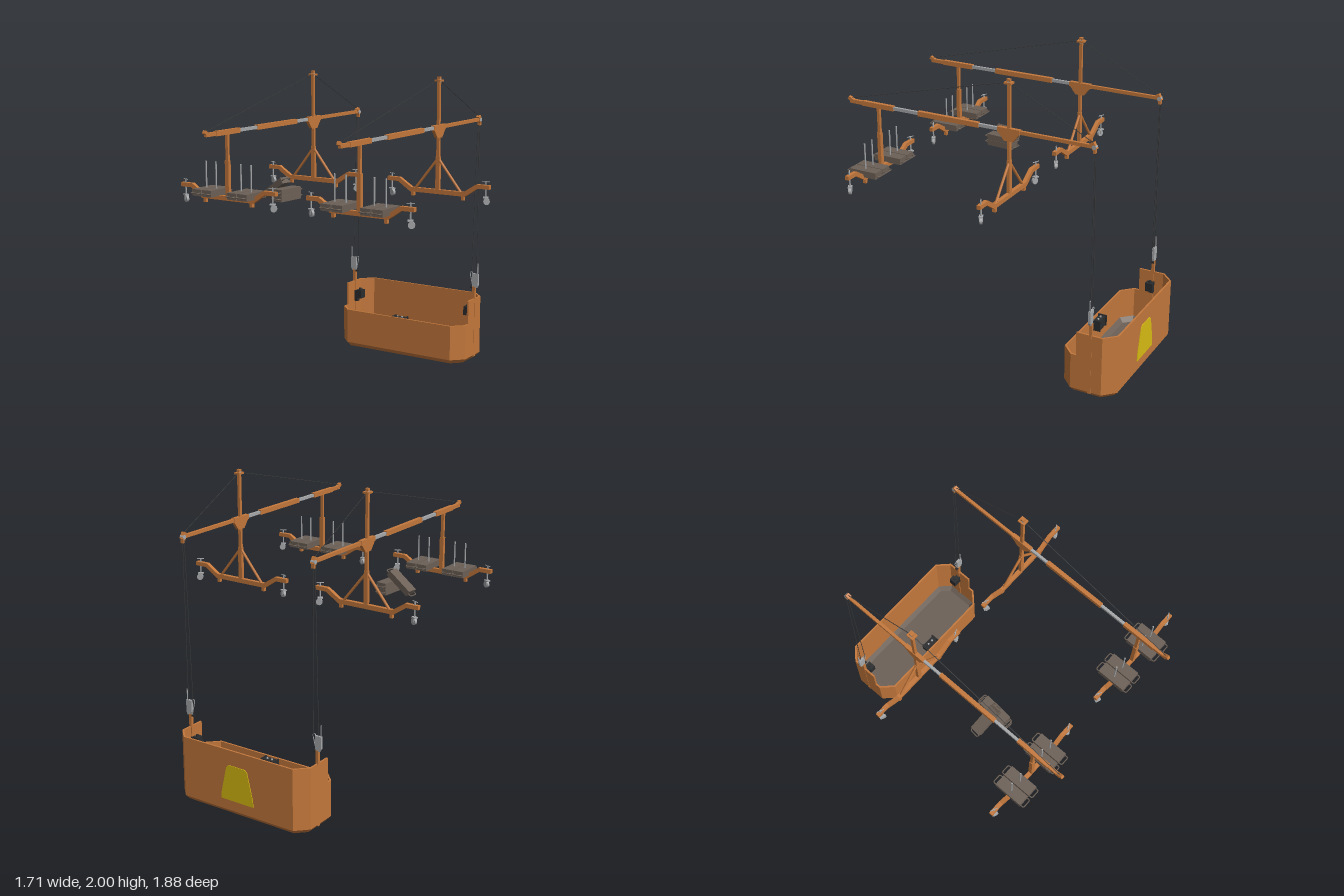
import * as THREE from 'three';
import { ConvexGeometry } from 'three/addons/geometries/ConvexGeometry.js';

const V = (x, y, z) => new THREE.Vector3(x, y, z);
const paint = (name, color, extra = {}) => {
  const m = new THREE.MeshStandardMaterial({ color, ...extra });
  m.name = name;
  return m;
};

export function createModel() {
  const orange = paint('orange paint', 0xc4783c);
  const steel = paint('steel', 0xa6a8aa);
  const iron = paint('cast iron', 0x6c6056, { side: THREE.DoubleSide });
  const black = paint('black', 0x2b2c2e);
  const cableMat = paint('cable', 0x3c3c3c);
  const yellow = paint('yellow', 0xd8bc12);

  const root = new THREE.Group();
  root.name = 'suspendedPlatform';

  const add = (parent, name, geo, mat, x = 0, y = 0, z = 0) => {
    const m = new THREE.Mesh(geo, mat);
    m.name = name;
    m.position.set(x, y, z);
    parent.add(m);
    return m;
  };
  const group = (parent, name, x = 0, y = 0, z = 0) => {
    const g = new THREE.Group();
    g.name = name;
    g.position.set(x, y, z);
    parent.add(g);
    return g;
  };
  const box = (p, name, mat, w, h, d, x, y, z) => add(p, name, new THREE.BoxGeometry(w, h, d), mat, x, y, z);
  // Straight rod between two points
  const rod = (p, name, mat, a, b, r, sides = 8) => {
    const dir = b.clone().sub(a);
    const m = add(p, name, new THREE.CylinderGeometry(r, r, dir.length(), sides), mat);
    m.position.copy(a).add(b).multiplyScalar(0.5);
    m.quaternion.setFromUnitVectors(V(0, 1, 0), dir.normalize());
    return m;
  };
  const bent = (p, name, mat, pts, r) =>
    add(p, name, new THREE.TubeGeometry(new THREE.CatmullRomCurve3(pts, false, 'catmullrom', 0.2), 20, r, 6), mat);
  const extrude = (pts, depth) => new THREE.ExtrudeGeometry(
    new THREE.Shape(pts.map(p => new THREE.Vector2(...p))), { depth, bevelEnabled: false });

  // Counterweight block with a carrying handle at each end
  function weight(parent, name, x, y, z, h = 0.042) {
    const g = group(parent, name, x, y, z);
    box(g, 'weightBlock', iron, 0.073, h, 0.195, 0, 0, 0);
    for (const s of [1, -1]) {
      bent(g, 'weightHandle', iron, [V(-0.03, 0, s * 0.09), V(-0.03, 0, s * 0.112),
        V(-0.024, 0, s * 0.12), V(0.024, 0, s * 0.12), V(0.03, 0, s * 0.112), V(0.03, 0, s * 0.09)], 0.004);
    }
    return g;
  }

  // Swivel caster with a threaded jack and T handle
  function caster(parent, x, turn) {
    const g = group(parent, 'caster', x, 0, 0);
    g.rotation.y = turn;
    rod(g, 'jackScrew', steel, V(0, 1.25, 0), V(0, 1.36, 0), 0.005);
    rod(g, 'jackHandle', steel, V(-0.024, 1.357, 0), V(0.024, 1.357, 0), 0.003);
    box(g, 'forkTop', steel, 0.034, 0.008, 0.026, 0, 1.257, 0);
    for (const s of [1, -1]) box(g, 'forkSide', steel, 0.018, 0.03, 0.003, 0.004, 1.242, s * 0.011);
    rod(g, 'wheel', steel, V(0.006, 1.231, -0.008), V(0.006, 1.231, 0.008), 0.021, 16);
  }

  // Cranked foot beam with casters and pads
  function stand(parent, name, z) {
    const g = group(parent, name, 0, 0, z);
    const foot = extrude([[-0.372, 1.31], [-0.29, 1.31], [-0.2, 1.25], [0.2, 1.25], [0.29, 1.31], [0.372, 1.31],
      [0.372, 1.336], [0.28, 1.336], [0.19, 1.279], [-0.19, 1.279], [-0.28, 1.336], [-0.372, 1.336]], 0.026);
    add(g, 'footBeam', foot, orange, 0, 0, -0.013);
    for (const s of [1, -1]) {
      caster(g, s * 0.343, s > 0 ? 0.5 : -0.4);
      box(g, 'footPad', orange, 0.02, 0.027, 0.022, s * 0.183, 1.238, 0);
    }
    return g;
  }

  function rig(name, x) {
    const g = group(root, name, x);
    // Telescopic jib beam: [material, thickness, z start, z end]
    const parts = [[orange, 0.024, 0.925, 0.82], [orange, 0.031, 0.83, 0.6], [steel, 0.02, 0.61, 0.41],
      [orange, 0.031, 0.42, -0.01], [steel, 0.02, 0, -0.15], [orange, 0.031, -0.14, -0.29],
      [orange, 0.022, -0.28, -0.775]];
    for (const [mat, t, a, b] of parts) box(g, 'jibBeam', mat, t * 0.85, t, a - b, 0, 1.679, (a + b) / 2);
    box(g, 'frontAnchor', orange, 0.022, 0.022, 0.05, 0, 1.688, 0.915).rotation.x = -0.5;
    box(g, 'rearHead', orange, 0.026, 0.045, 0.028, 0, 1.683, -0.77).rotation.x = 0.5;
    box(g, 'rearHeadDrop', orange, 0.022, 0.045, 0.016, 0, 1.662, -0.777);
    rod(g, 'rearPulley', steel, V(-0.014, 1.677, -0.775), V(0.014, 1.677, -0.775), 0.014, 14);

    // Rear stand with mast, braces and gusset
    const rear = stand(g, 'rearStand', -0.215);
    box(rear, 'lowerMast', orange, 0.028, 0.24, 0.022, 0, 1.37, 0);
    box(rear, 'middleMast', orange, 0.021, 0.2, 0.018, 0, 1.58, 0);
    box(rear, 'upperMast', orange, 0.018, 0.305, 0.02, 0, 1.83, 0);
    for (const s of [1, -1]) rod(rear, 'brace', orange, V(s * 0.165, 1.275, 0), V(0.005 * s, 1.475, 0), 0.009);
    const gusset = add(rear, 'gusset', extrude([[-0.075, 1.67], [-0.03, 1.612], [0.03, 1.612], [0.075, 1.67]], 0.022), orange, -0.011);
    gusset.rotation.y = Math.PI / 2;
    box(rear, 'mastCap', orange, 0.02, 0.03, 0.022, 0, 1.985, 0);
    box(rear, 'mastHead', orange, 0.042, 0.012, 0.05, 0, 1.975, 0);
    rod(rear, 'mastPulley', steel, V(-0.012, 1.975, 0), V(0.012, 1.975, 0), 0.012, 12);

    // Front stand with counterweights on pins
    const front = stand(g, 'frontStand', 0.715);
    box(front, 'frontLowerMast', orange, 0.028, 0.25, 0.024, 0, 1.375, 0);
    box(front, 'frontUpperMast', orange, 0.02, 0.19, 0.018, 0, 1.58, 0);
    for (const ox of [-0.177, -0.098, 0.098, 0.177]) {
      weight(front, 'counterweight', ox, 1.296, -0.005);
      rod(front, 'weightPin', steel, V(ox, 1.27, -0.005), V(ox, 1.485, -0.005), 0.005);
    }

    // Stay cables over the mast
    rod(g, 'frontStay', cableMat, V(0, 1.7, 0.915), V(0, 1.98, -0.215), 0.0022, 5);
    rod(g, 'rearStay', cableMat, V(0, 1.98, -0.215), V(0, 1.7, -0.77), 0.0022, 5);
    // Hoisting ropes
    rod(g, 'hoistRope', cableMat, V(0.003, 1.67, -0.777), V(0.002, 0.6, -0.777), 0.0022, 5);
    rod(g, 'safetyRope', cableMat, V(-0.01, 1.67, -0.777), V(-0.036, 0.6, -0.777), 0.0022, 5);
  }
  rig('rightRig', -0.485);
  rig('leftRig', 0.485);

  // Loose weights resting beside one rig
  const loose = group(root, 'looseWeights', -0.342, 0, 0.293);
  for (const y of [1.226, 1.266]) weight(loose, 'looseWeight', 0, y, 0, 0.039).rotation.y = -0.08;
  const lean = weight(loose, 'leaningWeight', -0.085, 1.282, 0);
  lean.rotation.set(0, Math.PI / 2 - 0.12, 0);
  lean.rotateX(-0.6);

  // Basket: octagonal tub with a low front
  const basket = group(root, 'basket', -0.021, 0, -0.75);
  const HX = 0.499, HZ = 0.185;
  const oct = i => {
    const x = HX - i, z = HZ - i, c = 0.078 - i * 0.586;
    return [[x - c, -z], [x, -z + c], [x, z - c], [x - c, z], [-x + c, z], [-x, z - c], [-x, -z + c], [-x + c, -z]];
  };
  const ring = (i, y) => oct(i).map(([x, z]) => V(x, y, z));
  const lower = new THREE.Shape(oct(0).map(p => new THREE.Vector2(...p)));
  lower.holes.push(new THREE.Path(oct(0.012).reverse().map(p => new THREE.Vector2(...p))));
  const upright = g => g.rotateX(-Math.PI / 2);
  add(basket, 'lowerWalls', upright(new THREE.ExtrudeGeometry(lower, { depth: 0.242, bevelEnabled: false })), orange, 0, 0.03, 0);
  // High back and sides, in plan (plan +y is toward the back)
  const high = i => {
    const x = HX - i, z = HZ - i, c = 0.078 - i * 0.586;
    return [[x, -0.07], [x, z - c], [x - c, z], [-x + c, z], [-x, z - c], [-x, -0.07]];
  };
  add(basket, 'upperWalls', upright(extrude([...high(0), ...high(0.012).reverse()], 0.165)), orange, 0, 0.27, 0);
  add(basket, 'hullBottom', new ConvexGeometry([...ring(0.027, 0), ...ring(0, 0.03)]), orange);
  add(basket, 'floor', new ConvexGeometry([...ring(0.013, 0.029), ...ring(0.013, 0.034)]), iron);
  // Sloped skirting around the floor
  const pos = [], hi = ring(0.013, 0.065), lo = ring(0.04, 0.034);
  for (let k = 0; k < 8; k++) {
    const n = (k + 1) % 8;
    for (const v of [lo[k], hi[n], hi[k], lo[k], lo[n], hi[n]]) pos.push(v.x, v.y, v.z);
  }
  const skirt = new THREE.BufferGeometry();
  skirt.setAttribute('position', new THREE.Float32BufferAttribute(pos, 3));
  skirt.computeVertexNormals();
  add(basket, 'floorSkirting', skirt, iron);

  // Yellow panel on the back wall
  const panel = add(basket, 'backPanel', extrude([[-0.125, 0.1], [0.125, 0.1], [0.12, 0.15], [0.08, 0.32], [0.062, 0.336],
    [-0.062, 0.336], [-0.08, 0.32], [-0.12, 0.15]], 0.004), yellow, 0, 0, -HZ);
  panel.rotation.y = Math.PI;

  // Stirrup, hoist and switch box at each end
  for (const s of [1, -1]) {
    const end = group(basket, s > 0 ? 'leftHoist' : 'rightHoist', 0, 0, -0.026);
    box(end, 'stirrup', orange, 0.02, 0.5, 0.02, s * 0.491, 0.27, 0);
    box(end, 'clevis', black, 0.034, 0.012, 0.018, s * 0.482, 0.512, 0);
    const body = extrude([[-0.022, 0.535], [-0.008, 0.512], [0.014, 0.512], [0.022, 0.53], [0.022, 0.612], [-0.022, 0.612]], 0.016);
    add(end, 'hoistBody', body, steel, s * 0.5, 0, -0.008);
    rod(end, 'hoistLever', steel, V(s * 0.516, 0.6, 0), V(s * 0.516, 0.685, 0), 0.004);
    bent(end, 'hoistHook', steel, [V(s * 0.48, 0.61, 0), V(s * 0.47, 0.622, 0), V(s * 0.458, 0.615, 0),
      V(s * 0.462, 0.59, 0), V(s * 0.472, 0.55, 0), V(s * 0.48, 0.515, 0)], 0.003);
    box(end, 'switchBox', black, 0.04, 0.062, 0.05, s * 0.442, 0.343, 0);
    box(end, 'switchBracket', black, 0.026, 0.08, 0.03, s * 0.474, 0.325, 0);
    rod(end, 'switchKnob', black, V(s * 0.445, 0.37, 0), V(s * 0.445, 0.385, 0), 0.01);
  }

  // Control box behind the front wall
  const control = group(basket, 'controlBox', -0.005, 0, 0.142);
  box(control, 'controlCase', black, 0.085, 0.07, 0.045, 0, 0.233, 0);
  for (const s of [1, -1]) {
    box(control, 'controlGuard', black, 0.008, 0.075, 0.06, s * 0.048, 0.235, 0);
    rod(control, 'controlKnob', steel, V(s * 0.018, 0.265, 0), V(s * 0.018, 0.274, 0), 0.007);
  }
  box(control, 'controlBracket', black, 0.06, 0.03, 0.03, 0, 0.24, 0.02);
  return root;
}
